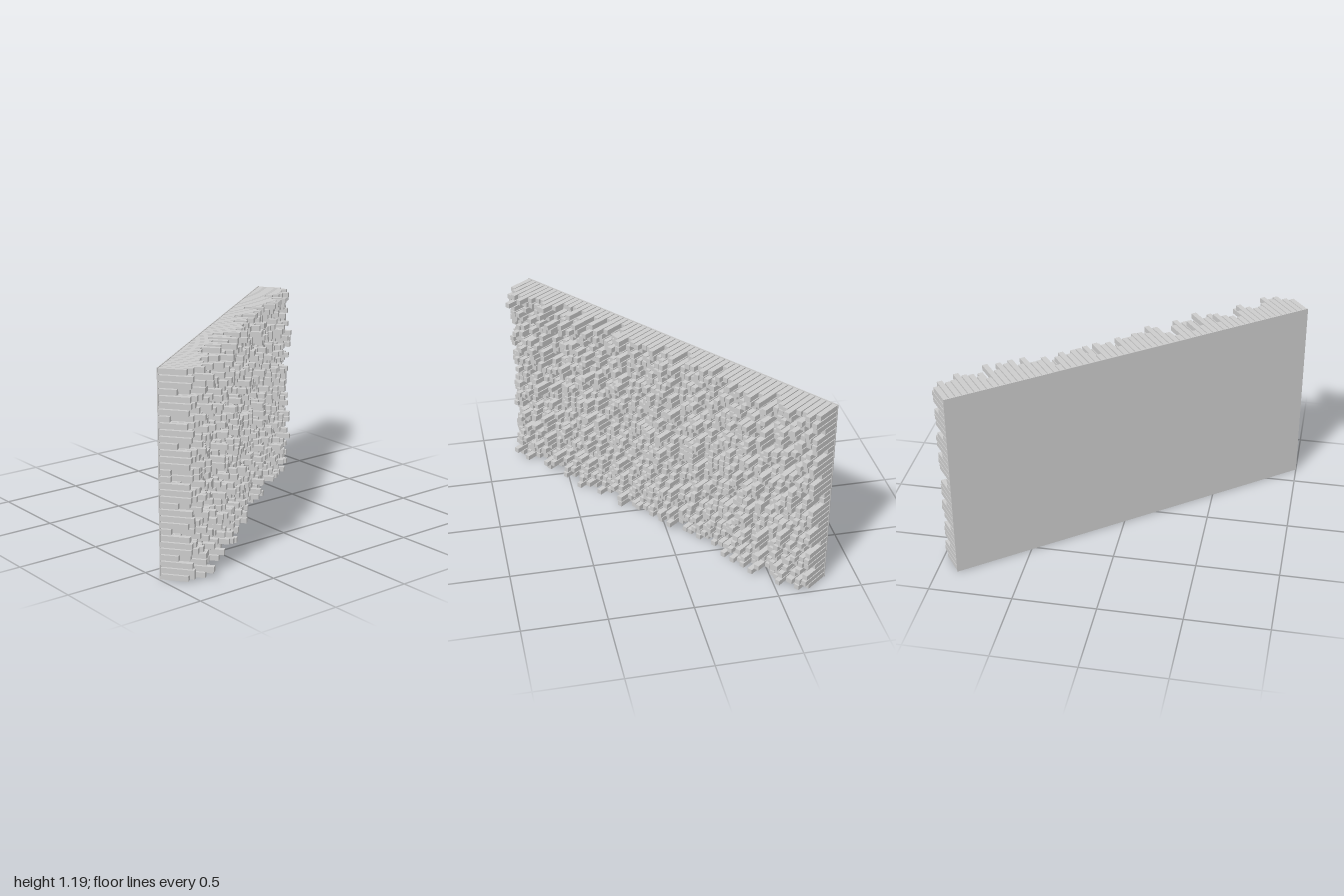
import * as THREE from 'three';
import { mergeGeometries } from 'three/addons/utils/BufferGeometryUtils.js';

const COLS = 64, ROWS = 32, PITCH = 0.0371, BAR = 0.031;
const PANEL = 0.006;

// repeating base lengths, counted outward from the middle rows
const BASE = [0.066, 0.17, 0.182, 0.178, 0.106, 0.184, 0.194, 0.16];

function hash(a, b) {
  const s = Math.sin(a * 12.9898 + b * 78.233) * 43758.5453;
  return s - Math.floor(s);
}

// bar length: rows mirror about the mid height, both end columns stay shorter
function barLength(col, row) {
  const d = row < ROWS / 2 ? ROWS / 2 - 1 - row : row - ROWS / 2;
  const end = Math.min(col, COLS - 1 - col);
  if (end === 0) return BASE[d % 8];
  if (col === 2 && d === 14) return 0.284;
  const shift = Math.floor(hash(col, 3) * 8);
  const extra = 0.115 * hash(col, 7) * hash(col, d + 11);
  const limit = Math.min(0.19 + 0.025 * end, 0.31);
  return Math.min(BASE[(d + shift) % 8] + extra, limit);
}

export function createModel() {
  const model = new THREE.Group();
  model.name = 'barWall';
  const material = new THREE.MeshStandardMaterial({ color: 0xcccccc, flatShading: true });

  // local frame: x along the wall, z out of its front, back face on z = 0
  const wall = new THREE.Group();
  wall.name = 'wall';
  const width = COLS * PITCH, height = ROWS * PITCH;

  // thin backing panel
  const panel = new THREE.Mesh(new THREE.BoxGeometry(width, height, PANEL), material);
  panel.name = 'backPanel';
  panel.position.set(0, height / 2, PANEL / 2);
  wall.add(panel);

  // one mesh per column of square bars
  for (let c = 0; c < COLS; c++) {
    const bars = [];
    for (let r = 0; r < ROWS; r++) {
      const length = barLength(c, r) - PANEL;
      const bar = new THREE.BoxGeometry(BAR, BAR, length);
      bar.translate(0, (r + 0.5) * PITCH, PANEL + length / 2);
      bars.push(bar);
    }
    const column = new THREE.Mesh(mergeGeometries(bars), material);
    column.name = 'barColumn' + (c + 1);
    column.position.x = (c + 0.5) * PITCH - width / 2;
    wall.add(column);
  }

  // the wall stands at an angle
  wall.rotation.y = Math.atan2(1.45, 1.88);
  wall.position.set(-0.06, 0, -0.09);
  model.add(wall);
  return model;
}
